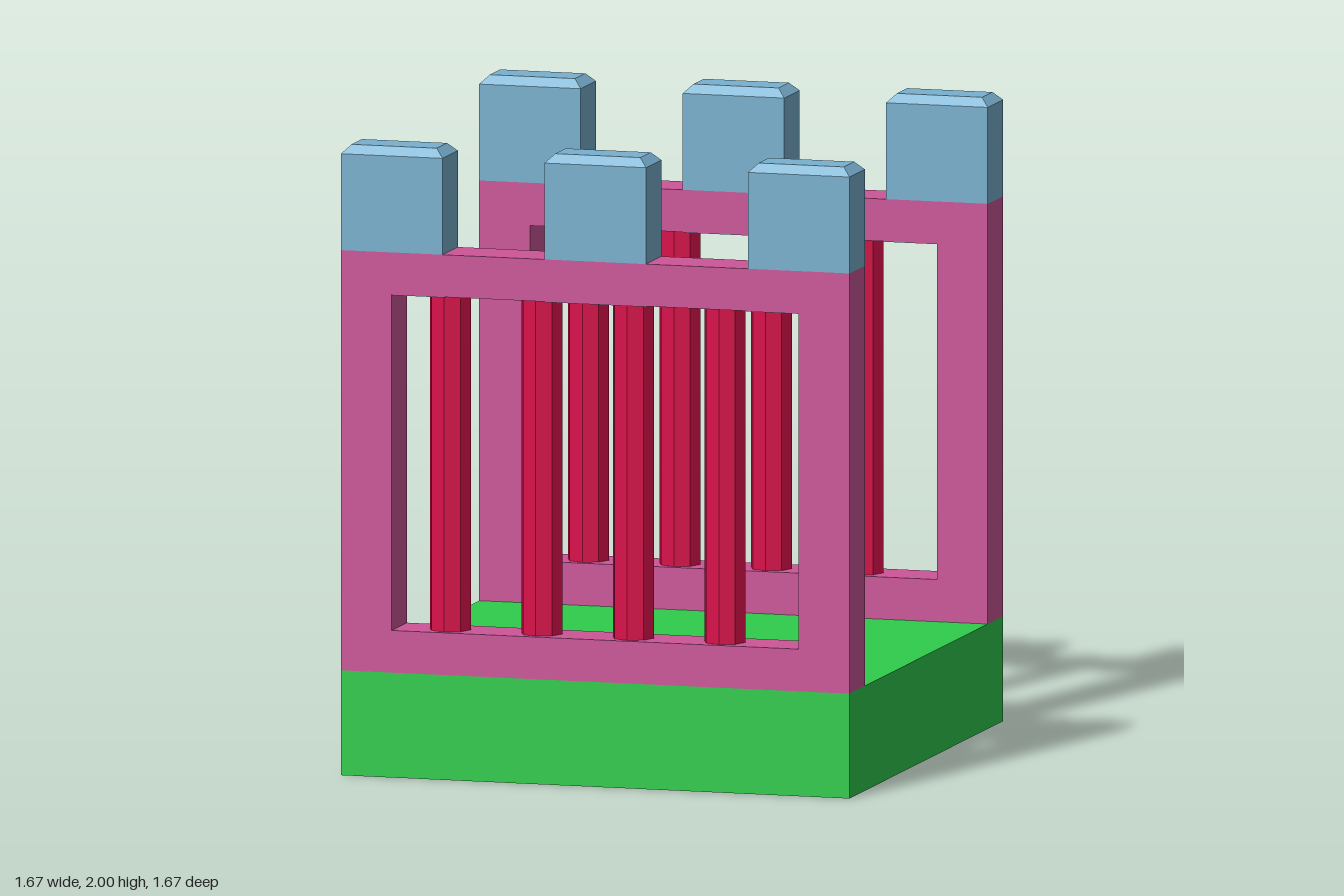
import * as THREE from 'three';

const mat = (color) => new THREE.MeshStandardMaterial({ color, flatShading: true });
const green = mat(0x2fcc4d), pink = mat(0xcc5599), blue = mat(0x78b0cf), red = mat(0xd9104a);

const HALF = 0.833, BASE = 0.333, TOP = 1.667, DEPTH = 0.167;
const SILL = 0.467, LINTEL = 1.533;

function add(parent, name, geometry, material, x = 0, y = 0, z = 0) {
  const mesh = new THREE.Mesh(geometry, material);
  mesh.name = name;
  mesh.position.set(x, y, z);
  parent.add(mesh);
}

// Rectangular outline from two opposite corners
function rect(Type, x, y0, y1) {
  return new Type([[-x, y0], [x, y0], [x, y1], [-x, y1]].map((p) => new THREE.Vector2(...p)));
}

// Block with a bevelled top rim
function merlonGeometry(w, h, d, bevel) {
  const g = new THREE.BoxGeometry(w, h, d, 1, 2, 1);
  const p = g.attributes.position;
  for (let i = 0; i < p.count; i++) {
    const y = p.getY(i);
    if (Math.abs(y) < 1e-6) p.setY(i, h / 2 - bevel);
    else if (y > 0) {
      p.setX(i, p.getX(i) - Math.sign(p.getX(i)) * bevel);
      p.setZ(i, p.getZ(i) - Math.sign(p.getZ(i)) * bevel);
    }
  }
  g.computeVertexNormals();
  return g;
}

function createWall(name, z) {
  const wall = new THREE.Group();
  wall.name = name;
  wall.position.z = z;

  // Frame with a rectangular opening
  const shape = rect(THREE.Shape, HALF, BASE, TOP);
  shape.holes.push(rect(THREE.Path, 0.667, SILL, LINTEL));
  const frame = new THREE.ExtrudeGeometry(shape, { depth: DEPTH, bevelEnabled: false });
  add(wall, 'frame', frame.translate(0, 0, -DEPTH / 2), pink);

  // Battlements, each with a root running down through the lintel
  const merlon = merlonGeometry(0.333, 0.333, DEPTH, 0.027);
  const root = new THREE.BoxGeometry(0.333, TOP - LINTEL, DEPTH - 0.004);
  for (const x of [-0.667, 0, 0.667]) {
    add(wall, 'merlon', merlon, blue, x, 1.8335, 0);
    add(wall, 'merlonRoot', root, blue, x * 0.99, (TOP + LINTEL) / 2 - 0.002, 0);
  }

  // Octagonal bars
  const bar = new THREE.CylinderGeometry(0.067, 0.067, LINTEL - SILL, 8);
  for (let i = 0; i < 4; i++) {
    add(wall, 'bar', bar, red, -0.5 + i * 0.3, (SILL + LINTEL) / 2, 0);
  }
  return wall;
}

export function createModel() {
  const model = new THREE.Group();
  model.name = 'barredGateway';
  add(model, 'floorSlab', new THREE.BoxGeometry(HALF * 2, BASE, HALF * 2), green, 0, BASE / 2, 0);
  model.add(createWall('frontWall', 0.75), createWall('backWall', -0.75));
  return model;
}
